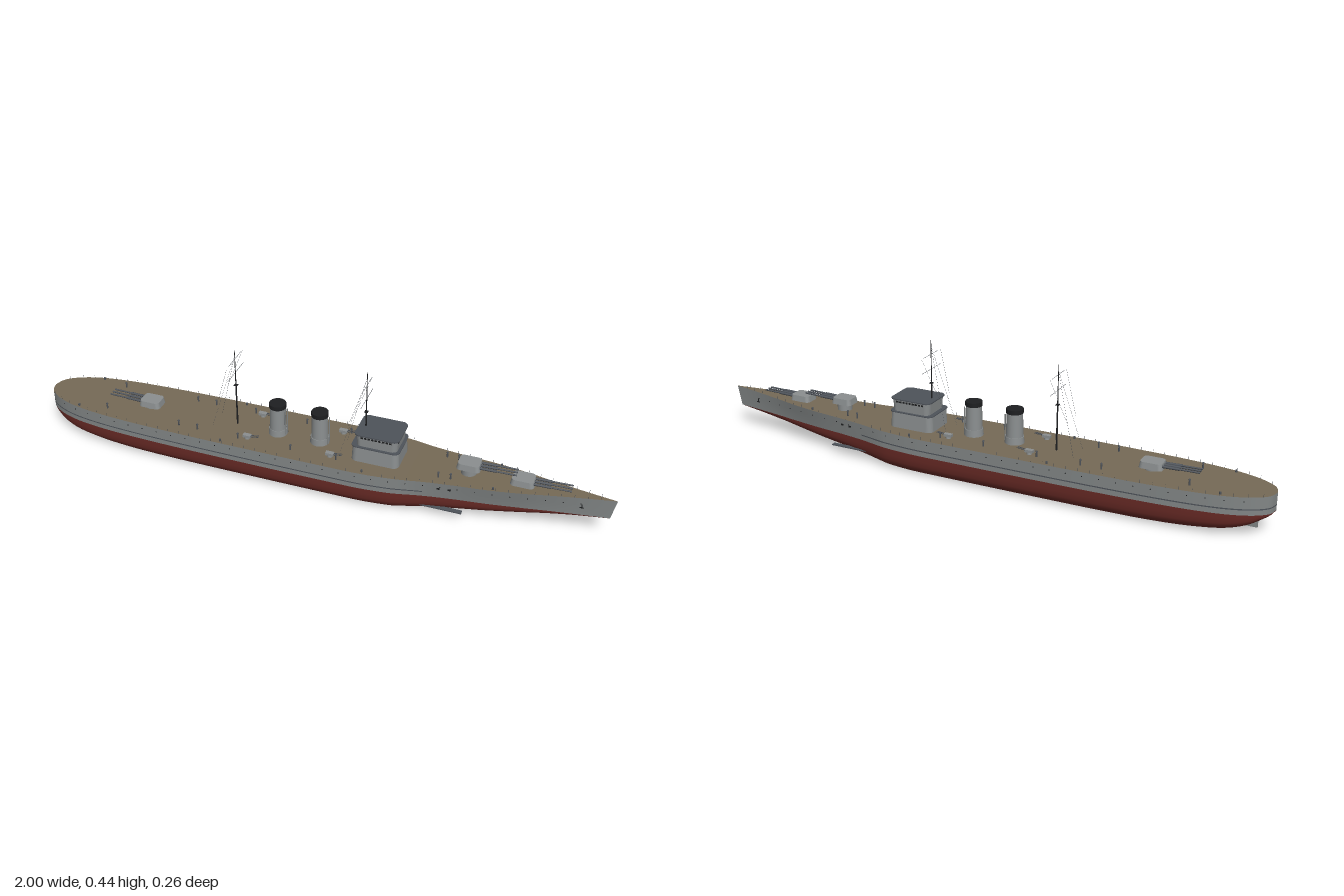
import * as THREE from 'three';
import { mergeGeometries } from 'three/addons/utils/BufferGeometryUtils.js';

const V = (x, y, z) => new THREE.Vector3(x, y, z);
const paint = (name, color) => {
  const m = new THREE.MeshStandardMaterial({ color });
  m.name = name;
  return m;
};

export function createModel() {
  const ship = new THREE.Group();
  const hullGrey = paint('hullGrey', 0x828686);
  const lightGrey = paint('lightGrey', 0x8b8f90);
  const darkGrey = paint('darkGrey', 0x4e535a);
  const red = paint('antifoulingRed', 0x6c2c27);
  const wood = paint('deckWood', 0x766a56);
  const black = paint('black', 0x1e1f21);
  red.side = hullGrey.side = THREE.DoubleSide;

  const add = (name, geo, mat, parent = ship) => {
    const mesh = new THREE.Mesh(Array.isArray(geo) ? mergeGeometries(geo) : geo, mat);
    mesh.name = name;
    parent.add(mesh);
    return mesh;
  };
  const box = (w, h, d, x, y, z) => new THREE.BoxGeometry(w, h, d).translate(x, y, z);
  const post = (x, y, z, h, r, rTop = r, n = 8) =>
    new THREE.CylinderGeometry(rTop, r, h, n).translate(x, y + h / 2, z);
  const rod = (a, b, r, n = 6) => {
    const d = b.clone().sub(a);
    const q = new THREE.Quaternion().setFromUnitVectors(V(0, 1, 0), d.clone().normalize());
    const c = a.clone().add(b).multiplyScalar(0.5);
    return new THREE.CylinderGeometry(r, r, d.length(), n).applyQuaternion(q).translate(c.x, c.y, c.z);
  };
  // Rounded block standing on y, tapering towards its top
  const block = (w, d, h, r, taper, x, y, z = 0) => {
    const s = new THREE.Shape(), a = w / 2, b = d / 2;
    [[a - r, b - r, 0], [r - a, b - r, 1], [r - a, r - b, 2], [a - r, r - b, 3]].forEach(([cx, cy, k]) =>
      s.absarc(cx, cy, r, k * Math.PI / 2, (k + 1) * Math.PI / 2, false));
    const g = new THREE.ExtrudeGeometry(s, { depth: h, bevelEnabled: false, curveSegments: 5 }).rotateX(-Math.PI / 2);
    const p = g.attributes.position;
    for (let i = 0; i < p.count; i++)
      if (p.getY(i) > h / 2) p.setXYZ(i, p.getX(i) * taper, p.getY(i), p.getZ(i) * taper);
    g.computeVertexNormals();
    return g.translate(x, y, z);
  };

  // Hull stations: x, half beam at the deck, keel height
  const stations = new THREE.CatmullRomCurve3([
    [-1, 0, 0.08], [-0.99, 0.032, 0.072], [-0.97, 0.053, 0.06], [-0.93, 0.076, 0.038], [-0.87, 0.096, 0.02],
    [-0.78, 0.111, 0.009], [-0.65, 0.121, 0.002], [-0.45, 0.127, 0], [-0.2, 0.129, 0], [0.05, 0.129, 0],
    [0.2, 0.127, 0], [0.3, 0.117, 0.003], [0.4, 0.099, 0.008], [0.5, 0.086, 0.014], [0.6, 0.076, 0.022],
    [0.7, 0.06, 0.034], [0.8, 0.038, 0.05], [0.9, 0.018, 0.066], [1, 0, 0.08],
  ].map(p => V(...p)), false, 'centripetal').getPoints(108)
    .map(p => ({ x: p.x, w: Math.max(0, p.y), keel: Math.max(0, p.z) }));
  const clamp = t => Math.min(1, Math.max(0, t));
  const deckY = x => 0.139 + 0.013 * clamp((x - 0.35) / 0.65);
  const rake = (x, y) => 0.015 * clamp((x - 0.7) / 0.3) * clamp((deckY(x) - y) / 0.072);
  const flare = (x, y) => 1 - 0.22 * clamp((x - 0.3) / 0.4) * clamp((deckY(x) - y) / 0.06);
  const sidePoint = (s, y, side, out = 0) => V(s.x - rake(s.x, y), y, side * (s.w * flare(s.x, y) + out));
  const at = x => {
    const i = Math.max(1, stations.findIndex(s => s.x >= x));
    const a = stations[i - 1], b = stations[i], t = (x - a.x) / (b.x - a.x);
    return { x, w: a.w + (b.w - a.w) * t };
  };
  const loft = (section, list = stations) => {
    const rows = list.map(section), m = rows[0].length, index = [];
    for (let i = 0; i < rows.length - 1; i++)
      for (let j = 0; j < m - 1; j++) {
        const a = i * m + j, b = a + 1, c = a + m, d = c + 1;
        index.push(a, b, c, b, d, c);
      }
    const g = new THREE.BufferGeometry().setFromPoints(rows.flat());
    g.setIndex(index);
    g.computeVertexNormals();
    return g;
  };

  // Underwater body, changing from a round bilge to a vee at the bow
  const bilge = [[1, 1], [0.985, 0.72], [0.95, 0.47], [0.9, 0.28], [0.78, 0.1], [0.5, 0.02], [0, 0]];
  add('lowerHull', loft(s => {
    const vee = 0.75 * clamp((s.x - 0.3) / 0.6);
    const half = bilge.map(([a, b]) => {
      const y = s.keel + (0.08 - s.keel) * (b + (a - b) * vee);
      return V(s.x - rake(s.x, 0.08), y, a * s.w * flare(s.x, 0.08));
    });
    return [...half, ...half.slice(0, -1).reverse().map(p => V(p.x, p.y, -p.z))];
  }), red);

  // Topsides, belt line and deck
  for (const side of [1, -1]) {
    const strip = (ys, out) => s => {
      const row = ys.map(y => sidePoint(s, y ?? deckY(s.x), side, out));
      return side > 0 ? row : row.reverse();
    };
    add('upperHull', loft(strip([null, 0.12, 0.1, 0.08], 0)), hullGrey);
    add('beltLine', loft(strip([0.101, 0.097], 0.0008), stations.filter(s => s.x < 0.41)), darkGrey);
  }
  add('deck', loft(s => [-1, 0, 1].map(k => V(s.x, deckY(s.x), k * s.w))), wood);

  // Portholes, anchors, bow fins and rudder
  const ports = [], anchors = [], fins = [];
  for (const side of [1, -1]) {
    for (let x = -0.92; x < 0.9; x += 0.055)
      ports.push(new THREE.CylinderGeometry(0.0018, 0.0018, 0.002, 8).rotateX(Math.PI / 2)
        .translate(...sidePoint(at(x), 0.125, side).toArray()));
    for (const x of [0.45, 0.485]) ports.push(box(0.01, 0.006, 0.003, ...sidePoint(at(x), 0.119, side).toArray()));
    const a = sidePoint(at(0.9), 0.117, side, 0.001);
    anchors.push(box(0.003, 0.012, 0.003, a.x, a.y, a.z), box(0.012, 0.003, 0.003, a.x, a.y - 0.006, a.z));
    fins.push(box(0.18, 0.004, 0.016, 0.44, 0.036, side * 0.079));
  }
  add('portholes', ports, black);
  add('anchors', anchors, black);
  add('hullFins', fins, darkGrey);
  add('rudder', box(0.07, 0.04, 0.006, -0.915, 0.032, 0), hullGrey);

  // Deck railing
  const rails = [];
  for (const side of [1, -1]) {
    for (let x = -0.97; x < 0.97; x += 0.04) rails.push(post(x, deckY(x), side * at(x).w * 0.985, 0.01, 0.0006, 0.0006, 5));
  }
  add('railingPosts', rails, darkGrey);

  // Triple gun turrets
  const turret = (x, y, base, yaw) => {
    const g = new THREE.Group();
    g.name = 'gunTurret';
    g.position.set(x, y, 0);
    g.rotation.y = yaw;
    add('turretBase', post(0, -base, 0, base, 0.026, 0.026, 20), lightGrey, g);
    add('turretHouse', block(0.078, 0.062, 0.021, 0.014, 0.9, 0, 0), lightGrey, g);
    add('gunBarrels', [-0.016, 0, 0.016].flatMap(z => [
      rod(V(0.03, 0.012, z), V(0.09, 0.0135, z), 0.0045, 10), rod(V(0.09, 0.0135, z), V(0.155, 0.015, z), 0.003, 10)]), darkGrey, g);
    ship.add(g);
  };
  turret(0.527, 0.166, 0.027, 0);
  turret(0.703, 0.149, 0.008, 0);
  turret(-0.61, 0.146, 0.008, Math.PI);

  // Funnels with dark caps
  for (const x of [-0.135, 0.015]) {
    add('funnel', [post(x, 0.138, 0, 0.024, 0.033, 0.031, 24), post(x, 0.162, 0, 0.083, 0.029, 0.027, 24)], lightGrey);
    add('funnelCap', post(x, 0.243, 0, 0.015, 0.029, 0.029, 24), black);
    add('funnelPipes', [-1, 1].map(k => rod(V(x + 0.03, 0.14, k * 0.01), V(x + 0.03, 0.235, k * 0.01), 0.002)), hullGrey);
  }

  // Bridge
  add('bridgeLower', block(0.162, 0.13, 0.056, 0.02, 0.97, 0.225, 0.138), lightGrey);
  add('bridgeLedge', block(0.164, 0.13, 0.003, 0.02, 1, 0.225, 0.193), darkGrey);
  add('bridgeUpper', block(0.138, 0.112, 0.042, 0.018, 1.04, 0.228, 0.195), lightGrey);
  add('bridgeRoof', block(0.152, 0.124, 0.004, 0.02, 1, 0.228, 0.237), darkGrey);
  const panes = [];
  for (let i = -4; i <= 4; i++) {
    panes.push(box(0.002, 0.006, 0.007, 0.299, 0.23, i * 0.01));
    for (const k of [1, -1]) panes.push(box(0.008, 0.006, 0.002, 0.228 + i * 0.012, 0.23, k * 0.058));
  }
  add('bridgeWindows', panes, black);

  // Masts with yards and rigging
  for (const [x, top] of [[-0.285, 0.43], [0.175, 0.445]]) {
    add('mast', [post(x, 0.138, 0, 0.162, 0.0032, 0.0024), post(x, 0.3, 0, top - 0.3, 0.002, 0.001),
      box(0.012, 0.002, 0.012, x, 0.295, 0)], black);
    const yards = [[0.345, 0.065], [0.397, 0.05]];
    add('yards', yards.map(([y, w]) => rod(V(x, y, -w), V(x, y, w), 0.0006)), darkGrey);
    add('rigging', [1, -1].flatMap(k => [
      rod(V(x, 0.397, k * 0.065), V(x - 0.05, 0.25, k * 0.035), 0.0003, 4),
      rod(V(x, top - 0.02, 0), V(x - 0.075, 0.14, k * 0.04), 0.0003, 4)]), darkGrey);
  }

  // Small guns on the midships deck
  for (const x of [-0.22, 0.075]) for (const k of [1, -1]) {
    const y = deckY(x);
    add('smallGun', [post(x, y, k * 0.07, 0.007, 0.009, 0.008, 10), box(0.028, 0.009, 0.016, x, y + 0.011, k * 0.07)], lightGrey);
    add('smallGunBarrels', [-0.004, 0.004].map(d =>
      rod(V(x + 0.012, y + 0.012, k * 0.07 + d), V(x + 0.042, y + 0.016, k * 0.07 + d), 0.0014)), darkGrey);
  }

  // Deck ventilators and bollards
  const fittings = [];
  for (const x of [-0.75, -0.47, -0.4, -0.25, -0.06, 0.1, 0.44, 0.48]) for (const k of [1, -1]) {
    const z = k * at(x).w * 0.62;
    fittings.push(post(x, deckY(x), z, 0.018, 0.0028, 0.0028), post(x, deckY(x) + 0.017, z, 0.004, 0.004, 0.003));
  }
  for (const x of [-0.85, -0.3, 0.2, 0.62]) for (const k of [1, -1])
    fittings.push(post(x, deckY(x), k * at(x).w * 0.9, 0.008, 0.0035));
  add('deckFittings', fittings, darkGrey);

  return ship;
}
